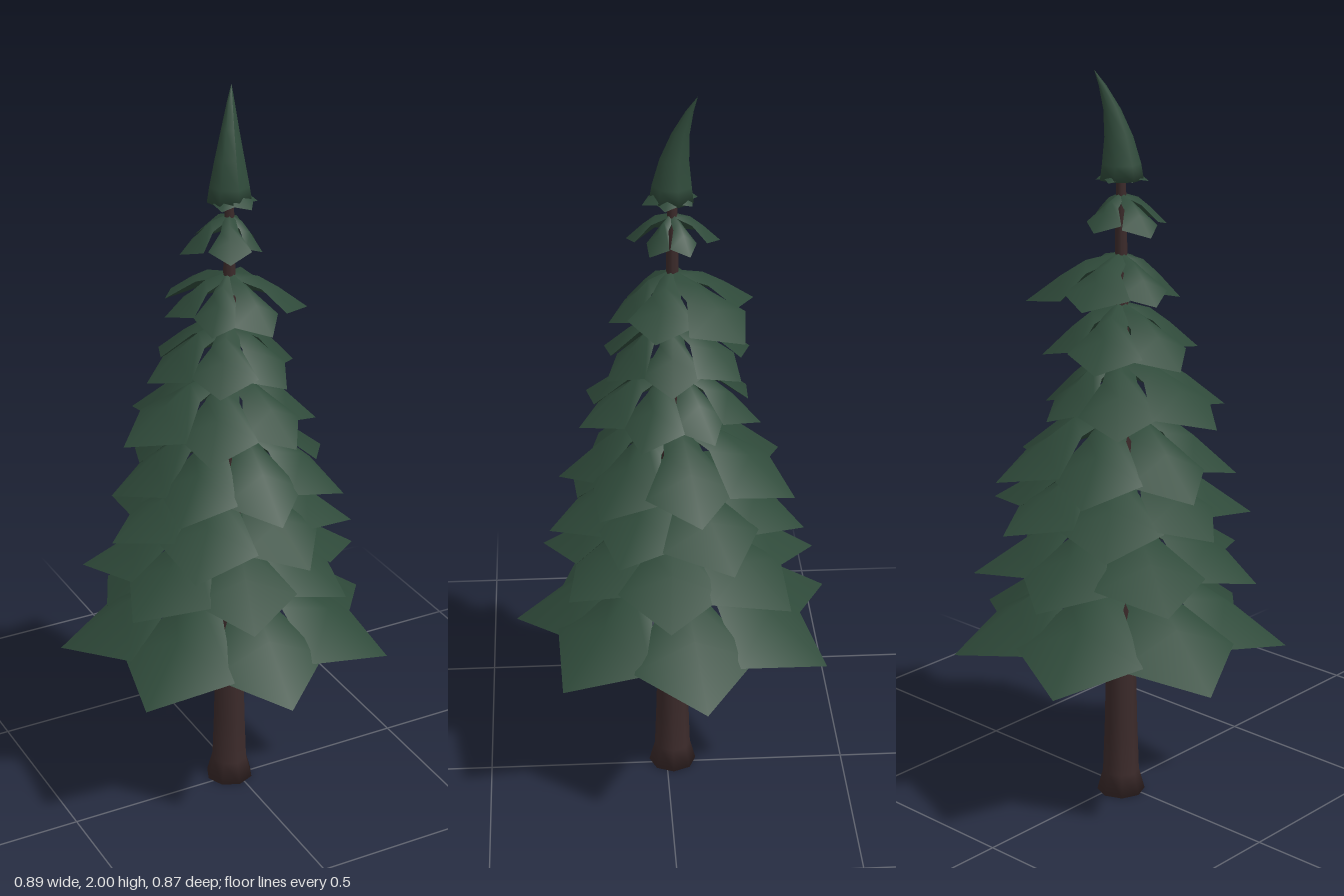
import * as THREE from 'three';

const needleGreen = new THREE.MeshStandardMaterial({ color: 0x2f4a3a, side: THREE.DoubleSide });
needleGreen.name = 'needle green';
const barkBrown = new THREE.MeshStandardMaterial({ color: 0x3b2a2a });
barkBrown.name = 'bark brown';

const AXIS = -0.017; // the trunk stands slightly off centre in x and z
const DEG = Math.PI / 180;

function seeded(seed) {
  let s = seed;
  return () => (s = (s * 16807) % 2147483647) / 2147483647;
}

// Drooping kite-shaped bough pointing along +x, closed below.
// Stations: distance, half width (of length); fall of ridge, edge, underside (of drop)
const STATIONS = [
  [0.03, 0.10, 0.00, 0.10, 0.42],
  [0.37, 0.16, 0.16, 0.36, 0.52],
  [0.63, 0.38, 0.47, 0.80, 0.72],
];
function boughGeometry(length, drop, width) {
  const pos = [], index = [];
  const addSheet = (middleColumn, flip) => {
    const first = pos.length / 3;
    const face = (a, b, c) => index.push(...(flip ? [a, c, b] : [a, b, c]).map(i => i + first));
    for (const station of STATIONS) {
      for (const side of [-1, 0, 1]) {
        const fall = side ? station[3] : station[middleColumn];
        pos.push(station[0] * length, -fall * drop, side * station[1] * width * length);
      }
    }
    pos.push(length, -drop, 0);
    for (let i = 0; i < STATIONS.length - 1; i++) {
      for (let j = 0; j < 2; j++) {
        const a = i * 3 + j;
        face(a, a + 1, a + 3);
        face(a + 1, a + 4, a + 3);
      }
    }
    const last = (STATIONS.length - 1) * 3;
    face(last, last + 1, last + 3);
    face(last + 1, last + 2, last + 3);
  };
  addSheet(2, false);
  addSheet(4, true);
  const g = new THREE.BufferGeometry();
  g.setAttribute('position', new THREE.Float32BufferAttribute(pos, 3));
  g.setIndex(index);
  g.computeVertexNormals();
  return g;
}

// Tiers: top height, drop, bough length, count, first angle, unevenness, lean amount, lean angle
const TIERS = [
  [0.695, 0.23, 0.45, 7, -8, 0.02, 0.03, 250],
  [0.845, 0.18, 0.375, 7, 4, 0.05, 0.06, 250],
  [0.99, 0.175, 0.35, 7, 28, 0.05, 0.05, 270],
  [1.13, 0.19, 0.315, 7, -12, 0.05, 0.08, 300],
  [1.27, 0.16, 0.26, 7, 24, 0.06, 0.18, 170],
  [1.40, 0.14, 0.205, 6, 5, 0.08, 0.06, 220],
  [1.53, 0.12, 0.195, 6, -45, 0.08, 0.25, -50],
  [1.685, 0.09, 0.11, 5, 190, 0.08, 0.28, 190],
  [1.76, 0.045, 0.07, 6, 15, 0.1, 0.15, 45],
];

export function createModel() {
  const tree = new THREE.Group();
  tree.name = 'pineTree';
  const rand = seeded(4711);

  // Trunk with a flared foot
  const profile = [[0, 0], [0.066, 0], [0.05, 0.06], [0.045, 0.2], [0.038, 0.5],
    [0.03, 0.9], [0.021, 1.3], [0.012, 1.74], [0, 1.74]].map(p => new THREE.Vector2(...p));
  const trunk = new THREE.Mesh(new THREE.LatheGeometry(profile, 8), barkBrown);
  trunk.name = 'trunk';
  trunk.position.set(AXIS, 0, AXIS);
  tree.add(trunk);

  // Rings of boughs, longer on the side each ring leans to
  TIERS.forEach(([y, drop, length, count, start, uneven, lean, leanAngle], t) => {
    const tier = new THREE.Group();
    tier.name = `boughTier${t + 1}`;
    tier.position.set(AXIS, y, AXIS);
    for (let i = 0; i < count; i++) {
      const vary = () => 1 + (rand() * 2 - 1) * uneven;
      const angle = start + i * 360 / count + (rand() - 0.5) * uneven * 60;
      const reach = length * vary() * (1 + lean * Math.cos((angle - leanAngle) * DEG));
      const bough = new THREE.Mesh(
        boughGeometry(reach, drop * vary(), 7 / Math.max(count, 6.2)), needleGreen);
      bough.name = 'bough';
      bough.rotation.y = -angle * DEG;
      tier.add(bough);
    }
    tree.add(tier);
  });

  // Bent crown: a tapering cone whose rings slide sideways with height
  const crownProfile = [[0, 0], [0.058, 0], [0.052, 0.04], [0.038, 0.11],
    [0.023, 0.18], [0.01, 0.24], [0, 0.28]].map(p => new THREE.Vector2(...p));
  const crownGeometry = new THREE.LatheGeometry(crownProfile, 7);
  const p = crownGeometry.attributes.position;
  for (let i = 0; i < p.count; i++) {
    const bend = (p.getY(i) / 0.28) ** 2.4;
    p.setX(i, p.getX(i) + 0.037 * bend);
    p.setZ(i, p.getZ(i) - 0.06 * bend);
  }
  crownGeometry.computeVertexNormals();
  const crown = new THREE.Mesh(crownGeometry, needleGreen);
  crown.name = 'crown';
  crown.position.set(AXIS, 1.72, AXIS);
  tree.add(crown);

  return tree;
}
